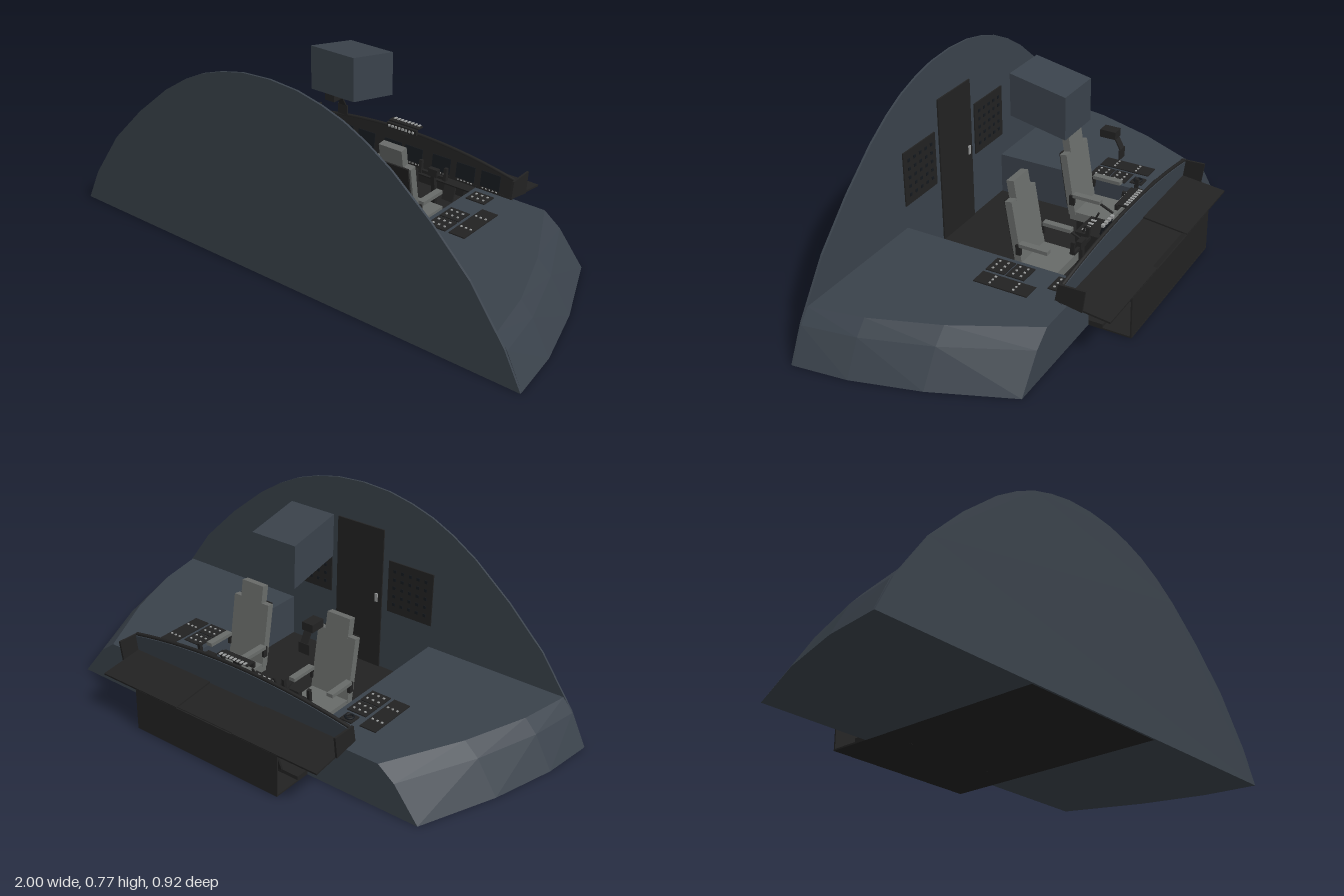
import * as THREE from 'three';

const mat = (name, color) => {
  const m = new THREE.MeshStandardMaterial({ color });
  m.name = name;
  return m;
};

export function createModel() {
  const hull = mat('slate hull', 0x3a424b);
  const black = mat('black trim', 0x222222);
  const seatGrey = mat('seat grey', 0x686b69);
  const screen = mat('dark screen', 0x15191e);
  const light = mat('light knobs', 0x9a9c9c);
  const root = new THREE.Group();
  root.name = 'flightDeck';

  const add = (name, geo, m, x = 0, y = 0, z = 0, rx = 0, parent = root) => {
    const mesh = new THREE.Mesh(geo, m);
    mesh.name = name;
    mesh.position.set(x, y, z);
    mesh.rotation.x = rx;
    parent.add(mesh);
    return mesh;
  };
  const box = (name, m, w, h, d, x, y, z, rx = 0, parent = root) =>
    add(name, new THREE.BoxGeometry(w, h, d), m, x, y, z, rx, parent);
  // thin bar between two points in a side plane, given as [z, y]
  const bar = (name, m, w, t, x, [z0, y0], [z1, y1], parent = root) =>
    box(name, m, w, t, Math.hypot(z1 - z0, y1 - y0), x, (y0 + y1) / 2, (z0 + z1) / 2,
      -Math.atan2(y1 - y0, z1 - z0), parent);
  // solid across x from a side outline of [z, y]
  const sideSolid = (outline, w) => {
    const s = new THREE.Shape(outline.map(([z, y]) => new THREE.Vector2(-z, y)));
    const g = new THREE.ExtrudeGeometry(s, { depth: w, bevelEnabled: false });
    return g.translate(0, 0, -w / 2).rotateY(Math.PI / 2);
  };

  // rear bulkhead
  const half = [[1, 0], [0.935, 0.13], [0.8, 0.32], [0.65, 0.47], [0.5, 0.595], [0.4, 0.66],
    [0.31, 0.705], [0.22, 0.735], [0.12, 0.757]];
  const dome = new THREE.Shape([...half, [0, 0.765], ...half.map(([x, y]) => [-x, y]).reverse()]
    .map(([x, y]) => new THREE.Vector2(x, y)));
  add('bulkhead', new THREE.ExtrudeGeometry(dome, { depth: 0.008, bevelEnabled: false }), hull, 0, 0, 0.452);
  box('door', black, 0.215, 0.6, 0.006, 0, 0.3, 0.449);
  box('doorHandle', light, 0.012, 0.035, 0.006, -0.085, 0.31, 0.444);
  for (const s of [-1, 1]) {
    box('breakerPanel', black, 0.2, 0.215, 0.005, s * 0.235, 0.375, 0.4495);
    for (let i = 0; i < 5; i++) for (let j = 0; j < 5; j++)
      box('breaker', screen, 0.012, 0.012, 0.004, s * (0.165 + i * 0.035), 0.305 + j * 0.035, 0.446);
  }

  // side consoles, lofted from sections along z: [z, outer x, shoulder x]
  const sections = [[0.452, 1, 0.9], [0.25, 0.975, 0.86], [0, 0.905, 0.77], [-0.295, 0.785, 0.62]];
  const console3 = (s) => {
    const pos = [], idx = [];
    const tri = (a, b, c) => idx.push(...(s > 0 ? [a, b, c] : [a, c, b]));
    for (const [z, xo, xi] of sections)
      for (const [x, y] of [[0.33, 0], [xo, 0], [xi + 0.4 * (xo - xi), 0.125], [xi, 0.175], [0.33, 0.175]])
        pos.push(s * x, y, z);
    for (let r = 0; r < 3; r++) for (let k = 0; k < 5; k++) {
      const a = r * 5 + k, b = r * 5 + (k + 1) % 5;
      tri(a, a + 5, b);
      tri(b, a + 5, b + 5);
    }
    for (let k = 1; k < 4; k++) {
      tri(0, k, k + 1);
      tri(15, 15 + k + 1, 15 + k);
    }
    const g = new THREE.BufferGeometry();
    g.setAttribute('position', new THREE.Float32BufferAttribute(pos, 3));
    g.setIndex(idx);
    const flat = g.toNonIndexed();
    flat.computeVertexNormals();
    return flat;
  };
  for (const s of [-1, 1]) {
    add('sideConsole', console3(s), hull);
    // switch panels on the console top: [x, z, width, length]
    for (const [x, z, w, d] of [[0.39, -0.222, 0.08, 0.065], [0.39, -0.062, 0.08, 0.072],
      [0.39, 0.018, 0.08, 0.075], [0.478, -0.05, 0.066, 0.21]]) {
      box('switchPanel', black, w, 0.004, d, s * x, 0.177, z);
      for (let i = -1; i <= 1; i++) for (const j of [-1, 1])
        box('switch', light, 0.007, 0.005, 0.007, s * x + i * w * 0.3, 0.18, z + j * d * 0.22);
    }
  }
  box('tillerPlate', black, 0.05, 0.005, 0.05, -0.39, 0.1775, -0.138);
  add('tiller', new THREE.TorusGeometry(0.015, 0.004, 6, 16), screen, -0.39, 0.183, -0.138, Math.PI / 2);

  // floor and footwell
  box('floor', black, 0.66, 0.006, 0.915, 0, 0.003, -0.003);
  box('footwellFront', black, 0.66, 0.165, 0.006, 0, 0.0845, -0.457);
  bar('footwellTop', black, 0.66, 0.006, 0, [-0.295, 0.139], [-0.455, 0.167]);
  box('footRest', black, 0.66, 0.018, 0.055, 0, 0.011, -0.322);
  for (const s of [-1, 1]) for (const o of [-0.045, 0.045]) {
    bar('pedal', black, 0.05, 0.008, s * 0.2 + o, [-0.358, 0.028], [-0.38, 0.09]);
    bar('pedalArm', screen, 0.012, 0.006, s * 0.2 + o, [-0.376, 0.08], [-0.455, 0.106]);
  }

  // instrument panel with an arched top
  const panel = new THREE.Group();
  panel.name = 'instrumentPanel';
  panel.position.set(0, 0.185, -0.268);
  panel.rotation.x = -0.13;
  root.add(panel);
  const arch = (x) => 0.128 - 0.052 * Math.pow(Math.abs(x) / 0.495, 2);
  const xs = Array.from({ length: 17 }, (_, i) => 0.495 - i * 0.99 / 16);
  const face = new THREE.Shape([[-0.495, 0], [0.495, 0], ...xs.map((x) => [x, arch(x)])]
    .map(([x, y]) => new THREE.Vector2(x, y)));
  add('panelFace', new THREE.ExtrudeGeometry(face, { depth: 0.01, bevelEnabled: false }), black,
    0, 0, -0.01, 0, panel);
  // slate backing behind the panel face
  add('panelBack', new THREE.ExtrudeGeometry(face, { depth: 0.003, bevelEnabled: false }), hull,
    0, -0.004, -0.0135, 0, panel);
  const rim = new THREE.CatmullRomCurve3(xs.map((x) => new THREE.Vector3(x, arch(x), -0.005)));
  add('panelRim', new THREE.TubeGeometry(rim, 32, 0.007, 6), black, 0, 0, 0, 0, panel);
  for (const x of [-0.4, -0.29, -0.18, -0.05, 0.05, 0.18, 0.29, 0.4]) {
    box('display', screen, 0.082, 0.06, 0.004, x, 0.045, 0.001, 0, panel);
    for (let k = -2; k <= 2; k++)
      box('displayKey', light, 0.006, 0.004, 0.004, x + k * 0.015, 0.009, 0.001, 0, panel);
  }
  // glareshield side plates and sloping lower shelf
  for (const s of [-1, 1]) {
    add('panelEnd', sideSolid([[-0.27, 0.26], [-0.37, 0.263], [-0.358, 0.178], [-0.257, 0.195]], 0.008),
      black, s * 0.498);
    bar('shelf', black, 0.365, 0.007, s * 0.312, [-0.268, 0.19], [-0.459, 0.167]);
  }
  bar('shelfCentre', black, 0.26, 0.006, 0, [-0.268, 0.184], [-0.455, 0.162]);

  // mode selector strip over the panel centre
  box('selectorStrip', black, 0.14, 0.02, 0.012, 0, 0.328, -0.265);
  box('selectorHood', black, 0.14, 0.005, 0.03, 0, 0.34, -0.288);
  bar('selectorBracket', black, 0.03, 0.006, 0, [-0.275, 0.3], [-0.285, 0.34]);
  for (let i = 0; i < 8; i++) {
    box('selectorKnob', light, 0.008, 0.008, 0.008, -0.056 + i * 0.016, 0.328, -0.257);
    box('selectorTop', light, 0.009, 0.004, 0.016, -0.056 + i * 0.016, 0.343, -0.298);
  }

  // centre pedestal with levers
  box('pedestal', black, 0.126, 0.172, 0.19, 0, 0.092, -0.195);
  for (let i = 0; i < 4; i++) {
    const x = -0.036 + i * 0.024;
    bar('thrustLever', screen, 0.007, 0.007, x, [-0.19, 0.178], [-0.2, 0.215]);
    box('leverGrip', light, 0.015, 0.01, 0.012, x, 0.218, -0.2);
    box('radioKey', light, 0.01, 0.004, 0.02, x, 0.179, -0.125);
  }
  for (const x of [-0.05, 0.05]) bar('sideLever', black, 0.008, 0.006, x, [-0.125, 0.178], [-0.138, 0.208]);

  // pilot seats and control yokes
  for (const s of [-1, 1]) {
    const seat = new THREE.Group();
    seat.name = s > 0 ? 'leftSeat' : 'rightSeat';
    seat.position.x = s * 0.2;
    root.add(seat);
    box('seatPedestal', black, 0.11, 0.1, 0.11, 0, 0.054, -0.05, 0, seat);
    box('seatCushion', seatGrey, 0.16, 0.035, 0.165, 0, 0.12, -0.063, 0, seat);
    box('backrest', seatGrey, 0.165, 0.25, 0.028, 0, 0.248, 0.029, 0.155, seat);
    box('headrest', seatGrey, 0.1, 0.075, 0.03, 0, 0.4, 0.053, 0.155, seat);
    box('backShell', black, 0.15, 0.22, 0.007, 0, 0.262, 0.049, 0.155, seat);
    for (const o of [-1, 1]) {
      box('armrest', seatGrey, 0.026, 0.014, 0.115, o * 0.085, 0.215, -0.057, 0, seat);
      box('armHinge', black, 0.012, 0.04, 0.02, o * 0.085, 0.19, 0.008, 0, seat);
    }
    const yoke = new THREE.Group();
    yoke.name = 'controlYoke';
    yoke.position.x = s * 0.2;
    root.add(yoke);
    bar('yokeColumn', black, 0.016, 0.016, 0, [-0.21, 0], [-0.195, 0.24], yoke);
    box('yokeHub', black, 0.04, 0.03, 0.02, 0, 0.232, -0.197, 0, yoke);
    box('yokeBar', black, 0.12, 0.012, 0.012, 0, 0.222, -0.197, 0, yoke);
    for (const o of [-1, 1]) box('yokeGrip', black, 0.012, 0.05, 0.014, o * 0.056, 0.242, -0.193, -0.1, yoke);
    bar('restraintArm', black, 0.008, 0.006, s * 0.2 - s * 0.085, [-0.108, 0.208], [-0.165, 0.182]);
  }

  // overhead panel and the sighting unit beside it
  add('overheadPanel', sideSolid([[0.145, 0.765], [0.145, 0.603], [-0.075, 0.557], [-0.075, 0.72]], 0.19), hull);
  box('sightUnit', black, 0.045, 0.03, 0.062, -0.2, 0.467, -0.105);
  bar('sightArm', black, 0.03, 0.005, -0.2, [-0.13, 0.455], [-0.153, 0.412]);
  bar('sightGlass', black, 0.045, 0.004, -0.2, [-0.153, 0.412], [-0.153, 0.372]);
  return root;
}
